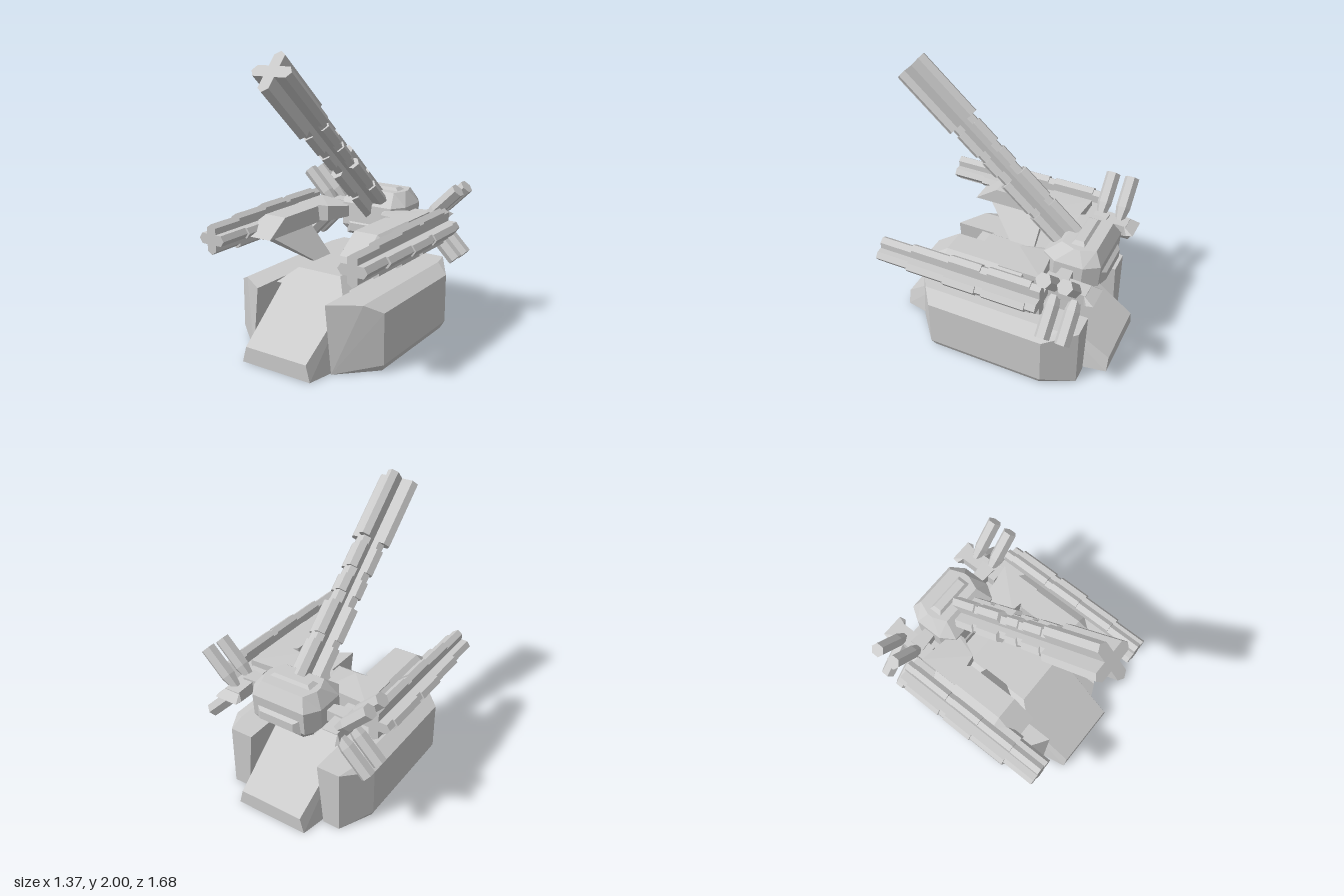
import * as THREE from 'three';
import { ConvexGeometry } from 'three/addons/geometries/ConvexGeometry.js';

const mat = new THREE.MeshStandardMaterial({ color: 0xcccccc, flatShading: true });

function add(parent, name, geometry) {
  const mesh = new THREE.Mesh(geometry, mat);
  mesh.name = name;
  parent.add(mesh);
  return mesh;
}

// Faceted solid around corner points; s = -1 mirrors it to the right side
function solid(parent, name, pts, s = 1) {
  return add(parent, name, new ConvexGeometry(pts.map(([x, y, z]) => new THREE.Vector3(s * x, y, z))));
}

// Corner points given for +x, doubled to both sides
const both = (pts) => pts.flatMap(([x, y, z]) => [[x, y, z], [-x, y, z]]);

// Plus-shaped section with pointed arm tips
function crossShape(r, t) {
  const arm = [[t, t], [r - t * 0.7, t], [r, 0], [r - t * 0.7, -t]];
  const pts = [];
  for (let i = 0; i < 4; i++) {
    const c = Math.round(Math.cos(-i * Math.PI / 2)), n = Math.round(Math.sin(-i * Math.PI / 2));
    arm.forEach(([x, y]) => pts.push(new THREE.Vector2(x * c - y * n, x * n + y * c)));
  }
  return new THREE.Shape(pts);
}

// Row of cross-section segments [front z, back z, radius] along local z
function crossBarrel(name, segments, t) {
  const g = new THREE.Group();
  g.name = name;
  segments.forEach(([front, back, r]) => {
    const geo = new THREE.ExtrudeGeometry(crossShape(r, t), { depth: front - back, bevelEnabled: false });
    add(g, 'barrelSegment', geo.translate(0, 0, back));
  });
  return g;
}

// Six-sided rod between two points
function hexRod(parent, name, a, b, ra, rb) {
  const d = b.clone().sub(a);
  const rod = add(parent, name, new THREE.CylinderGeometry(rb, ra, d.length(), 6));
  rod.position.copy(a).add(b).multiplyScalar(0.5);
  rod.quaternion.setFromUnitVectors(new THREE.Vector3(0, 1, 0), d.normalize());
}

function buildBase(root) {
  // Central wedge with ramps fore and aft
  solid(root, 'centralHull', both([
    [0.27, 0, 0.765], [0.24, 0.11, 0.765], [0.27, 0.455, 0.3],
    [0.32, 0, 0.5], [0.32, 0, -0.55],
    [0.27, 0.455, -0.33], [0.24, 0.11, -0.835], [0.27, 0, -0.835],
  ]));
  solid(root, 'turretPlinth', both([
    [0.27, 0.44, 0.4], [0.27, 0.44, -0.37], [0.17, 0.53, 0.28], [0.17, 0.53, -0.21],
  ]));
  // Side pods with clipped corners
  for (const s of [1, -1]) {
    const pts = [];
    for (const [y, out, dz] of [[0, 0.55, 0.02], [0.05, 0.575, 0], [0.4, 0.575, 0], [0.455, 0.47, -0.08]]) {
      const inner = 0.315 - 0.045 * y / 0.455;
      pts.push([inner, y, 0.6], [out, y, 0.39 - dz], [out, y, -0.46 + dz], [Math.min(out, 0.44), y, -0.675], [inner, y, -0.675]);
    }
    solid(root, 'sidePod', pts, s);
  }
}

function buildHead(root) {
  const head = new THREE.Group();
  head.name = 'head';
  root.add(head);
  // Eight-sided block, bevelled above and below
  const rings = [[0.6, 0.2, 0.13, -0.36, -0.62], [0.7, 0.265, 0.2, -0.3, -0.7],
    [0.86, 0.265, 0.2, -0.31, -0.71], [0.95, 0.2, 0.16, -0.42, -0.66]];
  const pts = [];
  rings.forEach(([y, w, e, f, b]) => pts.push([w, y, f - 0.1], [e, y, f], [e, y, b], [w, y, b + 0.1]));
  solid(head, 'headBlock', both(pts));
  // Raised visor panels on front, rear and top
  const visor = (name, place) => solid(head, name, both([
    [0.17, 0.055, 0], [0.17, -0.055, 0], [0.13, 0.03, 0.03], [0.13, -0.03, 0.03],
  ].map(([x, u, d]) => [x, ...place(u, d)])));
  visor('frontVisor', (u, d) => [0.685 + u, -0.32 + d]);
  visor('rearVisor', (u, d) => [0.74 + u, -0.7 - d]);
  visor('topVisor', (u, d) => [0.94 + d, -0.53 + u]);
}

function buildSide(root, s) {
  const side = new THREE.Group();
  side.name = s > 0 ? 'leftWing' : 'rightWing';
  root.add(side);
  // Fairing between head and side gun
  solid(side, 'wingFairing', [
    [0.28, 0.86, -0.1], [0.28, 0.86, 0.28], [0.45, 0.86, 0.28], [0.45, 0.86, -0.28],
    [0.53, 0.8, -0.25], [0.53, 0.8, 0.28],
    [0.28, 0.74, 0.45], [0.47, 0.74, 0.45], [0.28, 0.74, -0.12], [0.47, 0.72, -0.3], [0.42, 0.72, 0.4],
  ], s);
  solid(side, 'wingArm', [
    [0.15, 0.84, -0.28], [0.15, 0.84, -0.36], [0.22, 0.86, -0.14], [0.46, 0.86, -0.1], [0.46, 0.86, -0.4],
    [0.15, 0.76, -0.28], [0.15, 0.76, -0.36], [0.22, 0.75, -0.14], [0.46, 0.74, -0.1], [0.46, 0.74, -0.4],
  ], s);
  // Slanted strut down to the plinth
  solid(side, 'strut', [
    [0.15, 0.52, 0.1], [0.19, 0.52, 0.1], [0.15, 0.52, -0.08], [0.19, 0.52, -0.08],
    [0.36, 0.76, 0.4], [0.42, 0.74, 0.4], [0.36, 0.76, -0.08], [0.42, 0.74, -0.08],
  ], s);
  // Side gun
  const gun = crossBarrel('sideGun', [
    [0.72, 0.48, 0.105], [0.48, 0.2, 0.122], [0.2, -0.03, 0.135],
    [-0.03, -0.08, 0.122], [-0.08, -0.38, 0.135], [-0.38, -0.45, 0.12],
  ], 0.036);
  gun.position.set(s * 0.55, 0.77, 0);
  side.add(gun);

  // Claw hub with flared tail
  solid(side, 'clawArm', [
    [0.2, 0.82, -0.47], [0.2, 0.82, -0.54], [0.4, 0.83, -0.45], [0.4, 0.83, -0.56],
    [0.2, 0.75, -0.47], [0.2, 0.75, -0.54], [0.4, 0.73, -0.45], [0.4, 0.73, -0.56],
  ], s);
  solid(side, 'clawHub', [
    [0.33, 0.82, -0.4], [0.45, 0.82, -0.4], [0.33, 0.72, -0.4], [0.45, 0.72, -0.4],
    [0.33, 0.81, -0.7], [0.44, 0.81, -0.7], [0.33, 0.73, -0.7], [0.44, 0.73, -0.7],
  ], s);
  solid(side, 'hubTail', [
    [0.33, 0.81, -0.69], [0.44, 0.81, -0.69], [0.33, 0.73, -0.69], [0.44, 0.73, -0.69],
    [0.29, 0.77, -0.72], [0.48, 0.77, -0.72], [0.3, 0.77, -0.765], [0.47, 0.77, -0.765],
  ], s);
  // Two pairs of splayed fingers
  for (const z of [-0.49, -0.63]) for (const v of [1, -1]) {
    const p = (d) => new THREE.Vector3(s * (0.38 + d), 0.77 + v * d, z);
    hexRod(side, 'fingerRoot', p(0), p(0.09), 0.025, 0.052);
    hexRod(side, 'finger', p(0.09), p(0.25), 0.052, 0.052);
  }
}

export function createModel() {
  const root = new THREE.Group();
  root.name = 'turretMachine';
  buildBase(root);
  buildHead(root);
  buildSide(root, 1);
  buildSide(root, -1);

  // Raised main cannon, muzzle at local z = 0
  const cannon = crossBarrel('mainCannon', [
    [0, -0.49, 0.15], [-0.49, -0.54, 0.11], [-0.54, -0.72, 0.124], [-0.72, -0.78, 0.105],
    [-0.78, -0.9, 0.12], [-0.9, -0.98, 0.102], [-0.98, -1.22, 0.136],
    [-1.22, -1.27, 0.12], [-1.27, -1.62, 0.136],
  ], 0.04);
  cannon.position.set(0, 1.888, 0.74);
  cannon.rotation.x = -0.73;
  root.add(cannon);
  return root;
}
